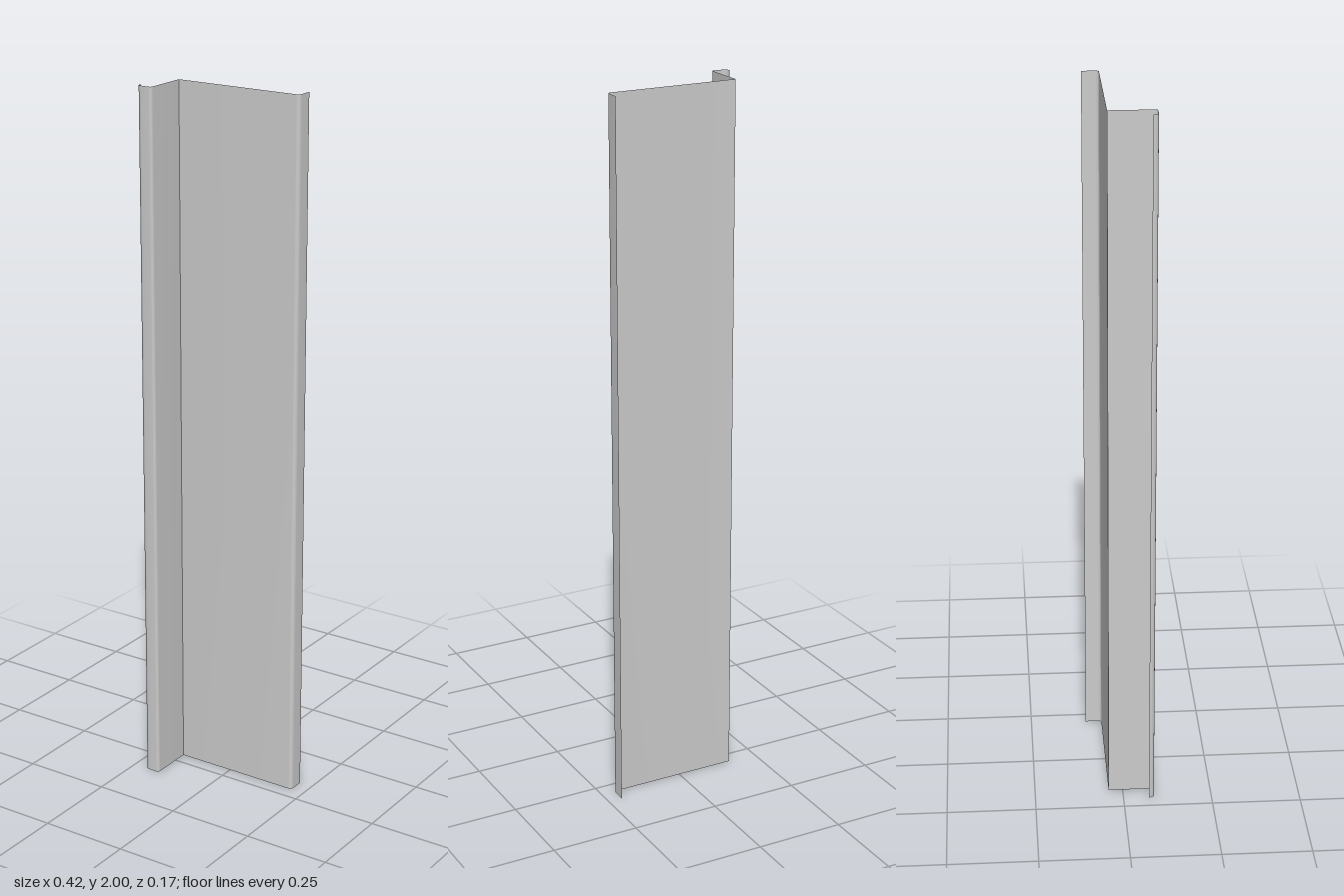
import * as THREE from 'three';
import { toCreasedNormals } from 'three/addons/utils/BufferGeometryUtils.js';

const HEIGHT = 2;

// Sweeps an open (x, z) section straight up into a thin sheet
function sheet(points, height) {
  const positions = [];
  for (let i = 0; i < points.length - 1; i++) {
    const a = points[i], b = points[i + 1];
    positions.push(
      a.x, 0, a.y, b.x, 0, b.y, b.x, height, b.y,
      a.x, 0, a.y, b.x, height, b.y, a.x, height, a.y
    );
  }
  const geometry = new THREE.BufferGeometry();
  geometry.setAttribute('position', new THREE.Float32BufferAttribute(positions, 3));
  return toCreasedNormals(geometry, Math.PI / 5);
}

export function createModel() {
  const group = new THREE.Group();
  group.name = 'foldedSheetProfile';
  const material = new THREE.MeshStandardMaterial({ color: 0xcccccc, side: THREE.DoubleSide });

  const add = (name, path) => {
    const mesh = new THREE.Mesh(sheet(path.getPoints(6), HEIGHT), material);
    mesh.name = name;
    group.add(mesh);
  };

  // Front flange with a rounded hook on its free edge, then the web running back
  const flange = new THREE.Path();
  flange.moveTo(-0.21, 0.072);
  flange.quadraticCurveTo(-0.21, 0.087, -0.198, 0.087);
  flange.lineTo(-0.172, 0.087);
  flange.quadraticCurveTo(-0.165, 0.087, -0.165, 0.08);
  flange.lineTo(-0.165, -0.04);
  add('flangeAndWeb', flange);

  // Wide flat panel ending in a rounded lip that turns backwards
  const panel = new THREE.Path();
  panel.moveTo(-0.165, -0.04);
  panel.lineTo(0.2, -0.04);
  panel.quadraticCurveTo(0.21, -0.04, 0.21, -0.05);
  panel.lineTo(0.21, -0.087);
  add('panelAndLip', panel);

  return group;
}
